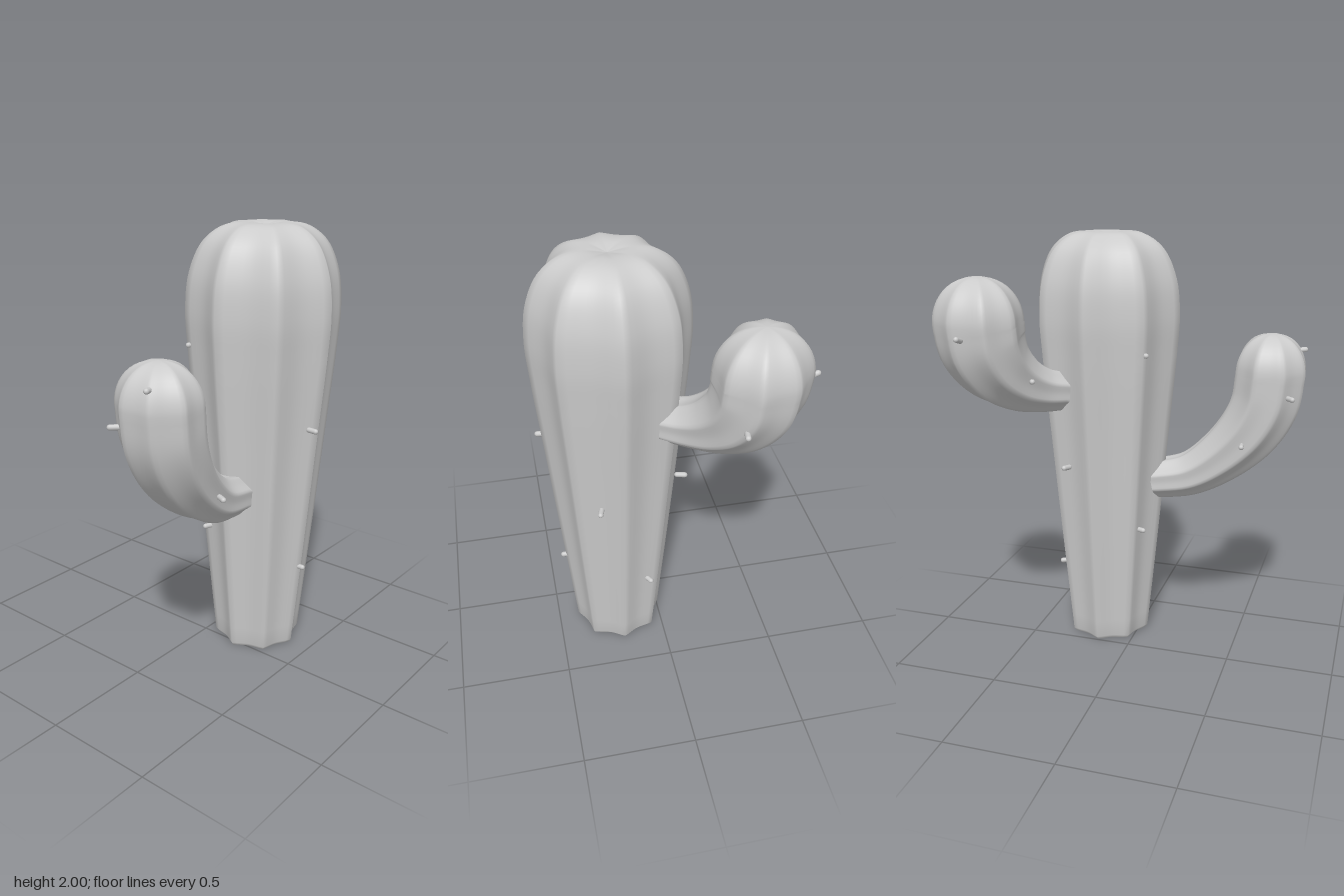
import * as THREE from 'three';

const material = new THREE.MeshStandardMaterial({ color: 0xcccccc, side: THREE.DoubleSide });
const AXIS = new THREE.Vector3(0.2, 0, -0.16); // trunk axis
const UP = new THREE.Vector3(0, 1, 0);
const RIBS = 8;
const SEGMENTS = RIBS * 8;

// Fluted skin over rows { u, y, r, t }: distance from the trunk axis along dir, height, radius, tangent
function loft(name, rows, dir, { depth, phase = 0, squash = 1 }) {
  const side = new THREE.Vector3().crossVectors(UP, dir).normalize();
  const positions = [], index = [];
  rows.forEach(({ u, y, r, t }, i) => {
    const centre = AXIS.clone().addScaledVector(dir, u).addScaledVector(UP, y);
    const normal = new THREE.Vector3().crossVectors(t, side);
    for (let j = 0; j < SEGMENTS; j++) {
      const a = (j / SEGMENTS) * Math.PI * 2;
      const k = r * (1 - depth * Math.abs(Math.sin((a - phase) * RIBS / 2)));
      const p = centre.clone()
        .addScaledVector(side, k * Math.cos(a))
        .addScaledVector(normal, k * squash * Math.sin(a));
      positions.push(p.x, p.y, p.z);
      if (i === rows.length - 1) continue;
      const b = i * SEGMENTS + j, c = i * SEGMENTS + (j + 1) % SEGMENTS;
      index.push(b, c, c + SEGMENTS, b, c + SEGMENTS, b + SEGMENTS);
    }
  });
  const geometry = new THREE.BufferGeometry();
  geometry.setAttribute('position', new THREE.Float32BufferAttribute(positions, 3));
  geometry.setIndex(index);
  geometry.computeVertexNormals();
  const mesh = new THREE.Mesh(geometry, material);
  mesh.name = name;
  return mesh;
}

const curveOf = (points) => new THREE.CatmullRomCurve3(points.map((p) => new THREE.Vector3(...p)));

// Trunk: tapered fluted column with a domed crown; points are [radius, height]
function trunk() {
  const rows = [[0, 0.012], [0.19, 0], [0.19, 0], [0.205, 0.018]].map(([r, y]) => ({ u: 0, y, r, t: UP }));
  const profile = curveOf([
    [0.205, 0.018, 0], [0.255, 0.53, 0], [0.304, 1.06, 0], [0.34, 1.45, 0], [0.35, 1.63, 0], [0.333, 1.79, 0],
    [0.275, 1.92, 0], [0.19, 1.985, 0], [0.1, 2, 0], [0, 1.985, 0]]);
  for (let i = 1; i <= 54; i++) {
    const p = profile.getPoint(i / 54);
    rows.push({ u: 0, y: Math.min(p.y, 2), r: Math.max(p.x, 0), t: UP });
  }
  return loft('trunk', rows, new THREE.Vector3(0, 0, 1), { depth: 0.13 });
}

// Arm: bent fluted tube with a rounded tip; points are [distance, height, radius]
function arm(name, dir, points, capHeight) {
  const path = curveOf(points), rows = [];
  const steps = 32, caps = 12;
  for (let i = 0; i <= steps; i++) {
    const p = path.getPoint(i / steps);
    const d = path.getTangent(i / steps);
    const t = i === steps ? UP : dir.clone().multiplyScalar(d.x).addScaledVector(UP, d.y).normalize();
    const row = { u: p.x, y: p.y, r: p.z, t };
    if (i === 0) rows.push({ ...row, r: 0 }, { ...row }); // closed root
    rows.push(row);
  }
  const tip = rows[rows.length - 1];
  for (let i = 1; i <= caps; i++) {
    const a = (i / caps) * Math.PI / 2;
    const r = i === caps ? 0 : tip.r * Math.cos(a) ** 0.9;
    rows.push({ ...tip, y: tip.y + capHeight * Math.sin(a), r });
  }
  return loft(name, rows, dir, { depth: 0.1, phase: Math.PI / RIBS, squash: 0.92 });
}

// Spines: small pegs pointing away from the stem, [x, y, z, dx, dy, dz]
function spines(name, list) {
  const group = new THREE.Group();
  group.name = name;
  const geometry = new THREE.CapsuleGeometry(0.012, 0.036, 4, 10);
  for (const [x, y, z, dx, dy, dz] of list) {
    const spine = new THREE.Mesh(geometry, material);
    spine.name = 'spine';
    spine.position.set(x, y, z);
    spine.quaternion.setFromUnitVectors(UP, new THREE.Vector3(dx, dy, dz).normalize());
    group.add(spine);
  }
  return group;
}

export function createModel() {
  const model = new THREE.Group();
  model.name = 'cactus';

  model.add(trunk());
  model.add(arm('frontArm', new THREE.Vector3(0.09, 0, 0.996), [
    [0.23, 0.815, 0.105], [0.41, 0.855, 0.118], [0.56, 0.955, 0.142],
    [0.685, 1.09, 0.168], [0.755, 1.23, 0.183], [0.775, 1.37, 0.186]], 0.18));
  model.add(arm('backArm', new THREE.Vector3(-0.78, 0, -0.626), [
    [0.27, 1.285, 0.105], [0.38, 1.305, 0.12], [0.49, 1.35, 0.15],
    [0.59, 1.43, 0.185], [0.65, 1.53, 0.207], [0.667, 1.63, 0.212]], 0.2));

  model.add(spines('trunkSpines', [
    [-0.02, 1.47, 0.075, -0.3, 0, 1],
    [0.055, 0.6, 0.045, -0.4, 0, 1],
    [0.51, 1.13, -0.11, 1, 0, 0.1],
    [0.44, 0.43, -0.155, 1, 0, 0],
    [0.3, 0.89, -0.41, 0.3, 0, -1],
    [-0.085, 0.93, -0.275, -1, 0.1, -0.4],
    [0.08, 0.38, -0.35, -0.5, 0, -0.85]]));
  model.add(spines('frontArmSpines', [
    [0.335, 1.47, 0.74, 0.3, 0.1, 1],
    [0.41, 0.95, 0.4, 1, 0, 0.5],
    [0.13, 1.28, 0.72, -0.7, 0, 0.7],
    [0.1, 1.05, 0.515, -1, 0, 0.1]]));
  model.add(spines('backArmSpines', [
    [-0.53, 1.59, -0.57, -1, 0.3, 0],
    [-0.27, 1.375, -0.36, -0.9, 0.2, 0.6],
    [-0.22, 1.47, -0.745, 0.2, 0, -1]]));
  return model;
}
